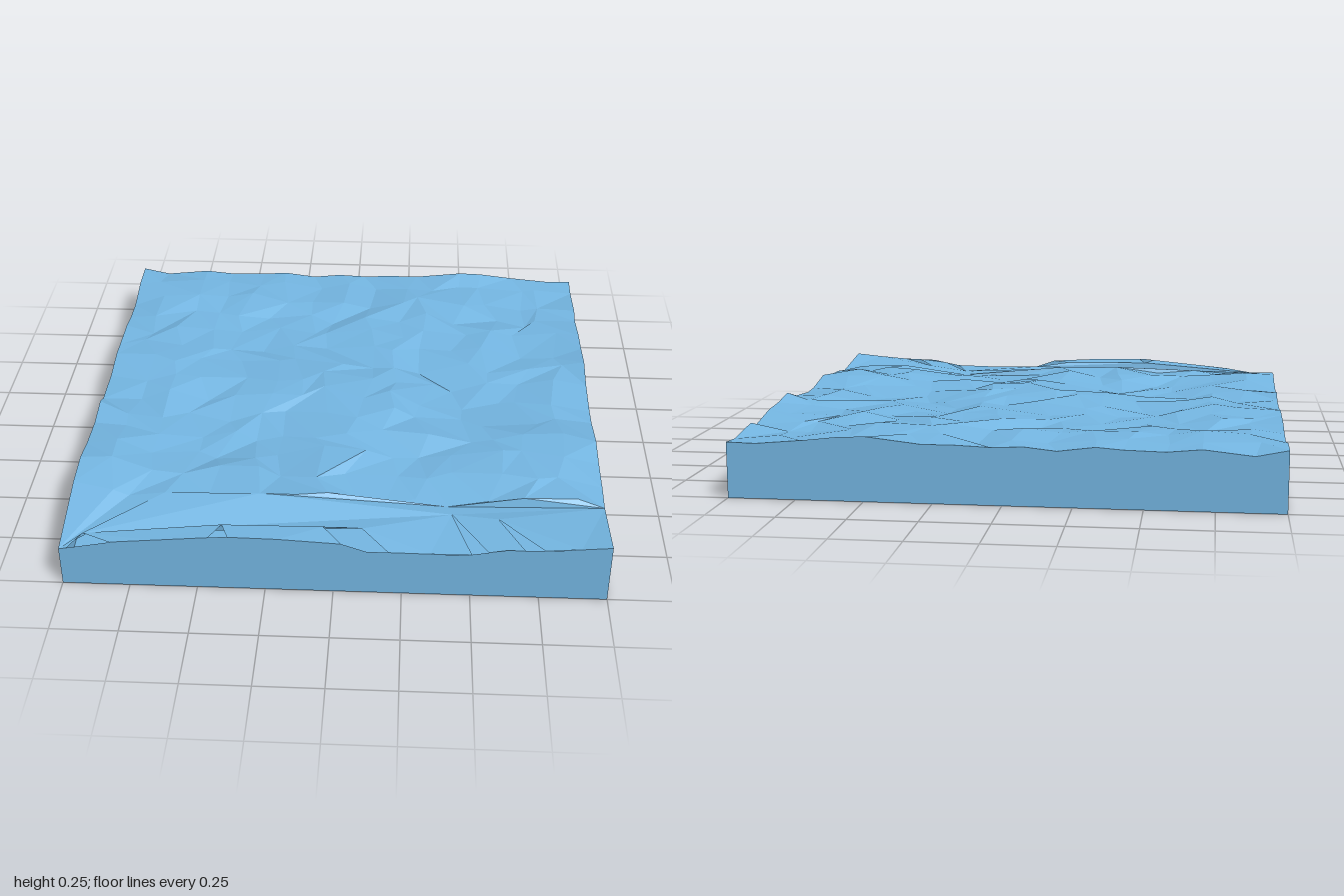
import * as THREE from 'three';

const material = new THREE.MeshStandardMaterial({
  color: 0x74b6e2, flatShading: true, side: THREE.DoubleSide,
});

// Seeded hash in 0..1
const hash = (i, j, k = 0) => {
  const s = Math.sin(i * 127.1 + j * 311.7 + k * 74.7) * 43758.5453;
  return s - Math.floor(s);
};

// Gentle, irregular ripples of the water
const ripple = (x, z) => 0.218
  + 0.009 * Math.sin(7 * x + 2.5 * z + 1.2)
  + 0.008 * Math.sin(8.5 * z - 3 * x + 0.6)
  + 0.006 * Math.cos(4 * x - 6 * z);

// Height of the front rim: [x, y]
const rim = [[-1, 0.16], [-0.8, 0.2], [-0.4, 0.238], [-0.2, 0.235], [0.03, 0.222],
  [0.12, 0.19], [0.48, 0.187], [0.62, 0.215], [0.8, 0.22], [1, 0.24]];
function rimHeight(x) {
  const k = Math.max(1, rim.findIndex((p) => p[0] >= x));
  const [a, b] = [rim[k - 1], rim[k]];
  return a[1] + (b[1] - a[1]) * (x - a[0]) / (b[0] - a[0]);
}

// Front outline of the surface with its torn notches: [x, z]
const frontOutline = [[-1, 1], [-0.97, 1], [-0.92, 0.94], [-0.81, 1], [-0.65, 1], [-0.45, 1],
  [-0.41, 0.92], [-0.38, 1], [-0.2, 1], [0.03, 1], [-0.04, 0.91], [0.1, 0.89], [0.2, 1],
  [0.35, 1], [0.5, 1], [0.43, 0.78], [0.56, 1], [0.69, 1], [0.6, 0.82], [0.76, 1],
  [0.89, 1], [1, 1]];

// Triangles from a list of corner vectors
function facets(name, corners) {
  const geometry = new THREE.BufferGeometry().setFromPoints(corners);
  geometry.computeVertexNormals();
  const mesh = new THREE.Mesh(geometry, material);
  mesh.name = name;
  return mesh;
}

// Upright wall below a line of rim points
function wall(name, line) {
  const corners = [];
  for (let i = 0; i + 1 < line.length; i++) {
    const [a, b] = [line[i], line[i + 1]];
    const [a0, b0] = [a.clone().setY(0), b.clone().setY(0)];
    corners.push(a0, b0, b, a0, b, a);
  }
  return facets(name, corners);
}

// Flat panel at y = 0 from an [x, z] outline
function floorPanel(name, outline) {
  const pts = outline.map(([x, z]) => new THREE.Vector2(x, -z));
  if (THREE.ShapeUtils.isClockWise(pts)) pts.reverse();
  const corners = [];
  for (const [a, b, c] of THREE.ShapeUtils.triangulateShape(pts, [])) {
    for (const k of [a, c, b]) corners.push(new THREE.Vector3(pts[k].x, 0, -pts[k].y));
  }
  return facets(name, corners);
}

export function createModel() {
  const group = new THREE.Group();
  group.name = 'waterTile';

  // Jittered grid of surface points, ending short of the front
  const nx = 15, nz = 13, frontRow = 0.71;
  const grid = [];
  for (let j = 0; j <= nz; j++) {
    grid.push([]);
    for (let i = 0; i <= nx; i++) {
      const edgeX = i === 0 || i === nx;
      const jz = j === 0 ? 0 : j === nz ? 0.05 : 0.09;
      const x = -1 + 2 * i / nx + (edgeX ? 0 : (hash(i, j) - 0.5) * 0.1);
      const z = -1 + (1 + frontRow) * j / nz + (hash(i, j, 1) - 0.5) * jz;
      const y = ripple(x, z) + (hash(i, j, 2) - 0.5) * 0.03;
      grid[j].push(new THREE.Vector3(x, y, z));
    }
  }
  const surface = [];
  for (let j = 0; j < nz; j++) {
    for (let i = 0; i < nx; i++) {
      const a = grid[j][i], b = grid[j + 1][i], c = grid[j + 1][i + 1], d = grid[j][i + 1];
      if (hash(i, j, 3) < 0.5) surface.push(a, b, c, a, c, d);
      else surface.push(a, b, d, b, c, d);
    }
  }

  // Front strip between the grid and the notched outline
  const front = frontOutline.map(([x, z]) =>
    new THREE.Vector3(x, z === 1 ? rimHeight(x) : (rimHeight(x) + ripple(x, z)) / 2, z));
  const strip = [...front, ...grid[nz].slice().reverse()];
  const flat = strip.map((p) => new THREE.Vector2(p.x, -p.z));
  for (const tri of THREE.ShapeUtils.triangulateShape(flat, [])) {
    for (const k of tri) surface.push(strip[k]);
  }
  group.add(facets('waterSurface', surface));

  // Four side walls
  const side = (i, x) => [...grid.map((row) => row[i]), new THREE.Vector3(x, rimHeight(x), 1)];
  group.add(wall('frontWall', rim.map(([x, y]) => new THREE.Vector3(x, y, 1))));
  group.add(wall('backWall', grid[0].slice().reverse()));
  group.add(wall('leftWall', side(nx, 1).reverse()));
  group.add(wall('rightWall', side(0, -1)));

  // Underside, with its ragged opening towards the back right corner
  group.add(floorPanel('underside', [[1, -1], [1, 1], [-1, 1], [-1, -1], [-0.8, 0.32],
    [-0.79, -0.2], [-0.62, 0.02], [-0.46, -0.12], [-0.57, -0.54], [-0.46, -0.71],
    [-0.49, -0.83]]));

  // Settle the back edge exactly on the tile border
  return group;
}
